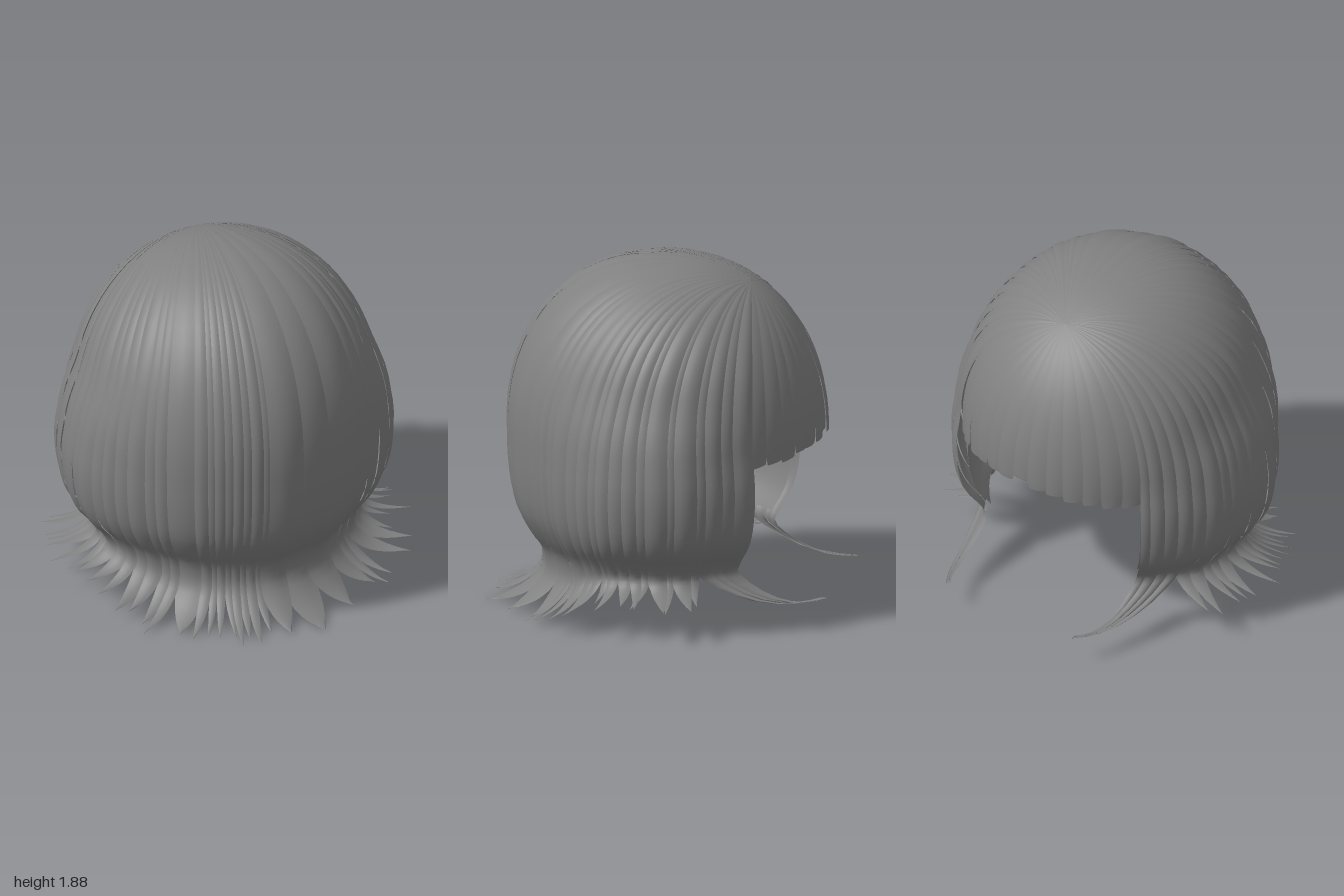
import * as THREE from 'three';

const hair = new THREE.MeshStandardMaterial({ color: 0x808080, side: THREE.DoubleSide });
hair.name = 'grey hair';

const CROWN_Z = -0.47, FACE = 2.32; // parting point, and the angle where the face opening starts
let seed = 7;
const rand = () => (seed = (seed * 16807) % 2147483647) / 2147483647;
const lerp = THREE.MathUtils.lerp, smooth = THREE.MathUtils.smoothstep;

// Fall of the hair below the dome: (distance factor, height), flicked out at the ends
const curve = pts => new THREE.CatmullRomCurve3(pts.map(([k, y]) => new THREE.Vector3(k, y, 0)));
const backFall = curve([[1, 1], [0.99, 0.75], [0.95, 0.55], [0.87, 0.42], [0.79, 0.32], [0.78, 0.2], [0.88, 0.1], [1.01, 0.04], [1.16, 0.01]]);
const sideFall = curve([[1, 1], [1.03, 0.8], [1.01, 0.6], [0.96, 0.48], [0.87, 0.38], [0.83, 0.31], [0.87, 0.26], [0.98, 0.22], [1.17, 0.2]]);

// Dome: s runs from the crown (0) to the widest line of the head (1)
function domePoint(a, s) {
  const rx = 0.8, rz = Math.cos(a) > 0 ? 0.815 : 0.86;
  const ex = rx * Math.sin(a), ez = Math.cos(a) * rz;
  const e = Math.sin(s * Math.PI / 2);
  const x = ex * e, z = lerp(CROWN_Z, ez, e);
  const r = Math.min(1, Math.hypot(x / rx, z / (z > 0 ? 0.815 : 0.86)));
  // The sides widen toward the ears
  const ear = (1 - smooth(ez, 0.1, 0.65)) * smooth(ez, -0.62, -0.15);
  const k = 1 + 0.075 * ear * smooth(s, 0.78, 1.04);
  return new THREE.Vector3(x * k, 1 + 0.89 * Math.sqrt(1 - r ** 2.3), z * k);
}

// Long hair: u runs from the widest line (0) to the tips (1)
function fallPoint(a, u, flick) {
  const rim = domePoint(a, 1);
  const w = 1 - smooth(rim.z, 0.1, 0.65);
  const p = backFall.getPoint(u).lerp(sideFall.getPoint(u), w);
  const out = new THREE.Vector3(rim.x * p.x, p.y, rim.z * p.x);
  // Front locks sweep forward instead of sideways
  if (flick) {
    const f = smooth(u, 0.58, 1);
    out.x = lerp(out.x, Math.sign(a) * 0.4, f);
    out.z = lerp(out.z, -0.94, f);
    out.y -= 0.06 * Math.sin(f * Math.PI) + 0.02 * f;
  }
  return out;
}

// Pushes a point away from the middle of the head
function swell(p, off) {
  p.x *= 1 + off;
  p.z *= 1 + off;
  if (p.y > 1) p.y = 1 + (p.y - 1) * (1 + off * 0.4);
  return p;
}

// Surface from a grid of points, rows running down and columns running across
function sheet(name, rows, cols, at) {
  const pos = [], index = [];
  for (let i = 0; i <= rows; i++) {
    for (let j = 0; j <= cols; j++) {
      pos.push(...at(i / rows, j / cols * 2 - 1).toArray());
      if (i < rows && j < cols) {
        const n = i * (cols + 1) + j, m = n + cols + 1;
        index.push(n, m, n + 1, n + 1, m, m + 1);
      }
    }
  }
  const g = new THREE.BufferGeometry();
  g.setAttribute('position', new THREE.Float32BufferAttribute(pos, 3));
  g.setIndex(index);
  g.computeVertexNormals();
  const mesh = new THREE.Mesh(g, hair);
  mesh.name = name;
  return mesh;
}

// Long lock: rounded across, narrowing to a point at the tip
function longLock(a, half, layer) {
  const flick = Math.abs(a) > 2;
  const reach = flick ? 1 : 0.9 + 0.1 * rand();
  const lean = (rand() - 0.5) * 0.1;
  const bulge = Math.min(0.018, half * 0.3);
  return sheet(flick ? 'frontLock' : 'longLock', 40, 4, (t, v) => {
    const u = Math.max(0, t * 2.2 - 1) / 1.2 * reach;
    const s = Math.min(1, t * 2.2);
    const f = Math.max(0, (u / reach - 0.68) / 0.32);
    const taper = Math.max(0.02, 1 - f ** (flick ? 3 : 1.7));
    const angle = a + v * half * 1.2 * taper + lean * f;
    const p = s < 1 ? domePoint(angle, s) : fallPoint(angle, u, flick);
    return swell(p, (layer + bulge * (1 - v * v)) * Math.min(1, s * 1.5));
  });
}

// Fringe lock: ends above the eyes, slightly longer toward the temples
function fringeLock(a, half, layer) {
  const edge = Math.abs(a - Math.PI) / (Math.PI - FACE);
  const drop = 0.01 + 0.08 * edge + 0.02 * rand();
  return sheet('fringeLock', 20, 4, (t, v) => {
    const s = Math.min(1, t / 0.8), u = Math.max(0, (t - 0.8) / 0.2);
    const p = domePoint(a + v * half * (1.1 - 0.18 * u * u), s);
    p.y -= u * drop * (1 - 0.1 * v);
    return swell(p, (layer + 0.008 * (1 - v * v)) * s);
  });
}

export function createModel() {
  const group = new THREE.Group();
  group.name = 'bobHair';

  // Long locks around the back and sides: broad at the back, narrow at the sides
  let n = 0;
  for (let a = -FACE; a < FACE - 0.01;) {
    const narrow = a > -0.55 && a < -0.08;
    const base = narrow ? 0.06 : Math.abs(a) < 0.8 ? 0.22 : 0.085;
    let width = base * (0.7 + 0.6 * rand());
    if (a + width > FACE - 0.04) width = FACE - a;
    group.add(longLock(a + width / 2, width / 2, (n++ % 2) * 0.014));
    a += width;
  }

  // Fringe over the forehead
  const count = 13, step = (Math.PI - FACE) * 2 / count;
  for (let i = 0; i < count; i++) {
    group.add(fringeLock(FACE + step * (i + 0.5), step / 2, (i % 2) * 0.008));
  }

  // Inner cap lining the hair, turning in under the nape like a bowl
  group.add(sheet('innerCap', 40, 40, (t, v) => {
    const a = v * FACE;
    const s = Math.min(1, t * 2.5), u = THREE.MathUtils.clamp(t * 2.5 - 1, 0, 1) * 0.5;
    const p = swell(s < 1 ? domePoint(a, s) : fallPoint(a, u, false), -0.06);
    const turn = Math.max(0, t - 0.8) / 0.2 * (1 - smooth(Math.abs(a), 0.5, 1.5));
    const inward = 1 - 0.45 * turn;
    return new THREE.Vector3(p.x * inward, p.y - 0.17 * Math.sin(turn * Math.PI / 2), p.z * inward);
  }));
  group.add(sheet('foreheadLining', 14, 14, (t, v) =>
    swell(domePoint(Math.PI + v * (Math.PI - FACE), t), -0.04)));

  return group;
}
